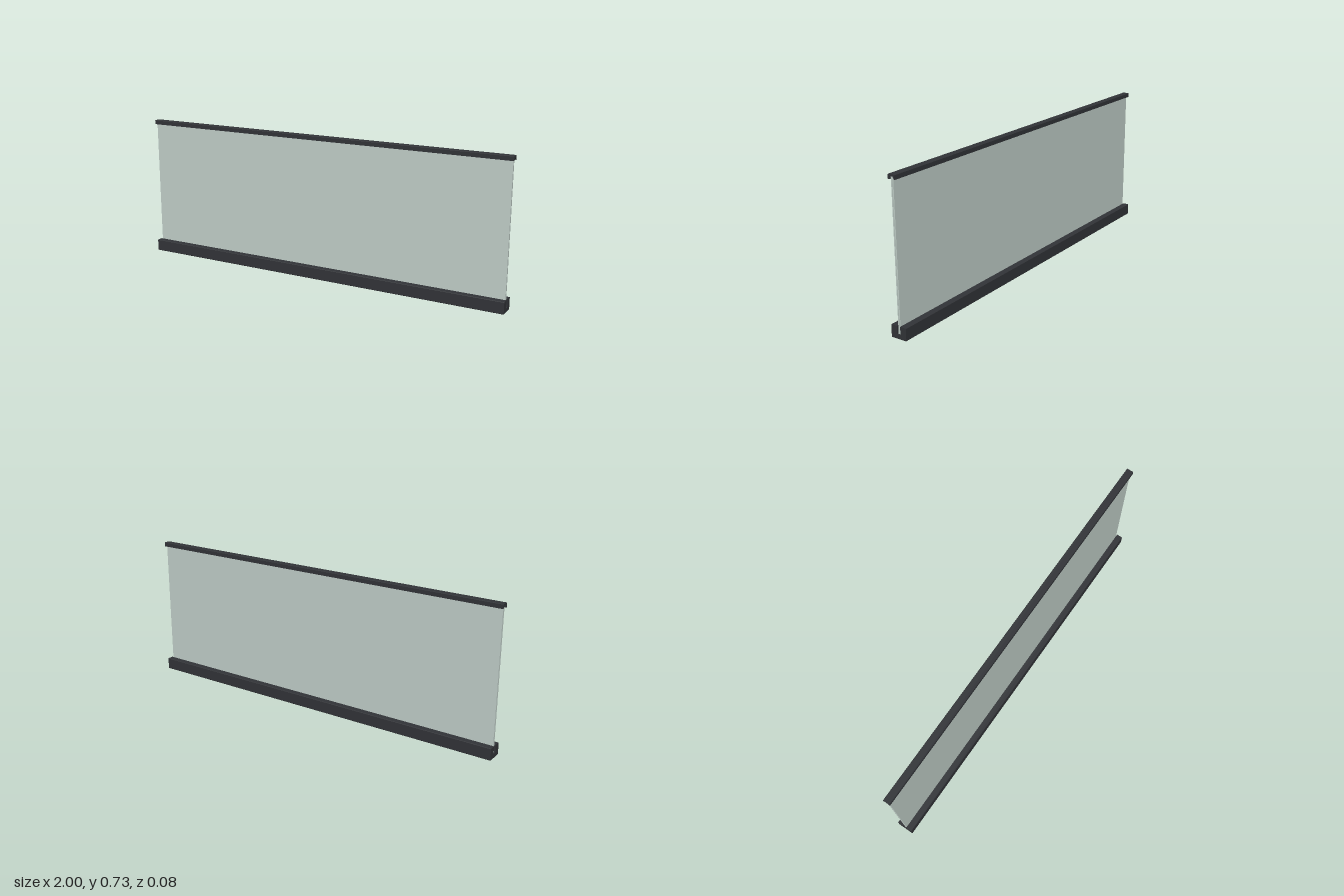
import * as THREE from 'three';

const LENGTH = 2;

// Extrudes a [across, up] cross-section along x; "across" runs towards -z.
function profileBar(name, points, material) {
  const shape = new THREE.Shape(points.map(([a, y]) => new THREE.Vector2(a, y)));
  const geometry = new THREE.ExtrudeGeometry(shape, { depth: LENGTH, bevelEnabled: false });
  geometry.translate(0, 0, -LENGTH / 2);
  geometry.rotateY(Math.PI / 2);
  const mesh = new THREE.Mesh(geometry, material);
  mesh.name = name;
  return mesh;
}

export function createModel() {
  const group = new THREE.Group();
  group.name = 'glassBalustrade';
  const metal = new THREE.MeshStandardMaterial({ color: 0x323438 });
  const glass = new THREE.MeshStandardMaterial({ color: 0xc2d0ca });
  const film = new THREE.MeshStandardMaterial({ color: 0xaebdb6 });

  // Base channel: heavy block with a slot and softened corners
  const w = 0.041, h = 0.06, c = 0.002, slot = 0.009, floor = 0.02;
  group.add(profileBar('baseChannel', [
    [-w + c, 0], [w - c, 0], [w, c], [w, h - c], [w - c, h], [slot, h],
    [slot, floor], [-slot, floor], [-slot, h], [-w + c, h], [-w, h - c], [-w, c],
  ], metal));

  // Cap rail: square lip at the front, tapered lip at the back
  const r = 0.0175, top = 0.733, under = 0.724, lip = 0.711;
  group.add(profileBar('capRail', [
    [-r, lip], [-0.009, lip], [-0.009, under], [0.008, under], [r - 0.001, lip],
    [r, lip], [r, top - c], [r - c, top], [-r + c, top], [-r, top - c],
  ], metal));

  // Laminated glass: two panes with a thin film between
  const glassHeight = under - floor;
  const layer = (name, thickness, z, material, length) => {
    const mesh = new THREE.Mesh(new THREE.BoxGeometry(length, glassHeight, thickness), material);
    mesh.position.set(0, floor + glassHeight / 2, z);
    mesh.name = name;
    group.add(mesh);
  };
  layer('frontPane', 0.0055, 0.00375, glass, 1.988);
  layer('backPane', 0.0055, -0.00375, glass, 1.988);
  layer('interlayerFilm', 0.002, 0, film, 1.986);

  return group;
}
